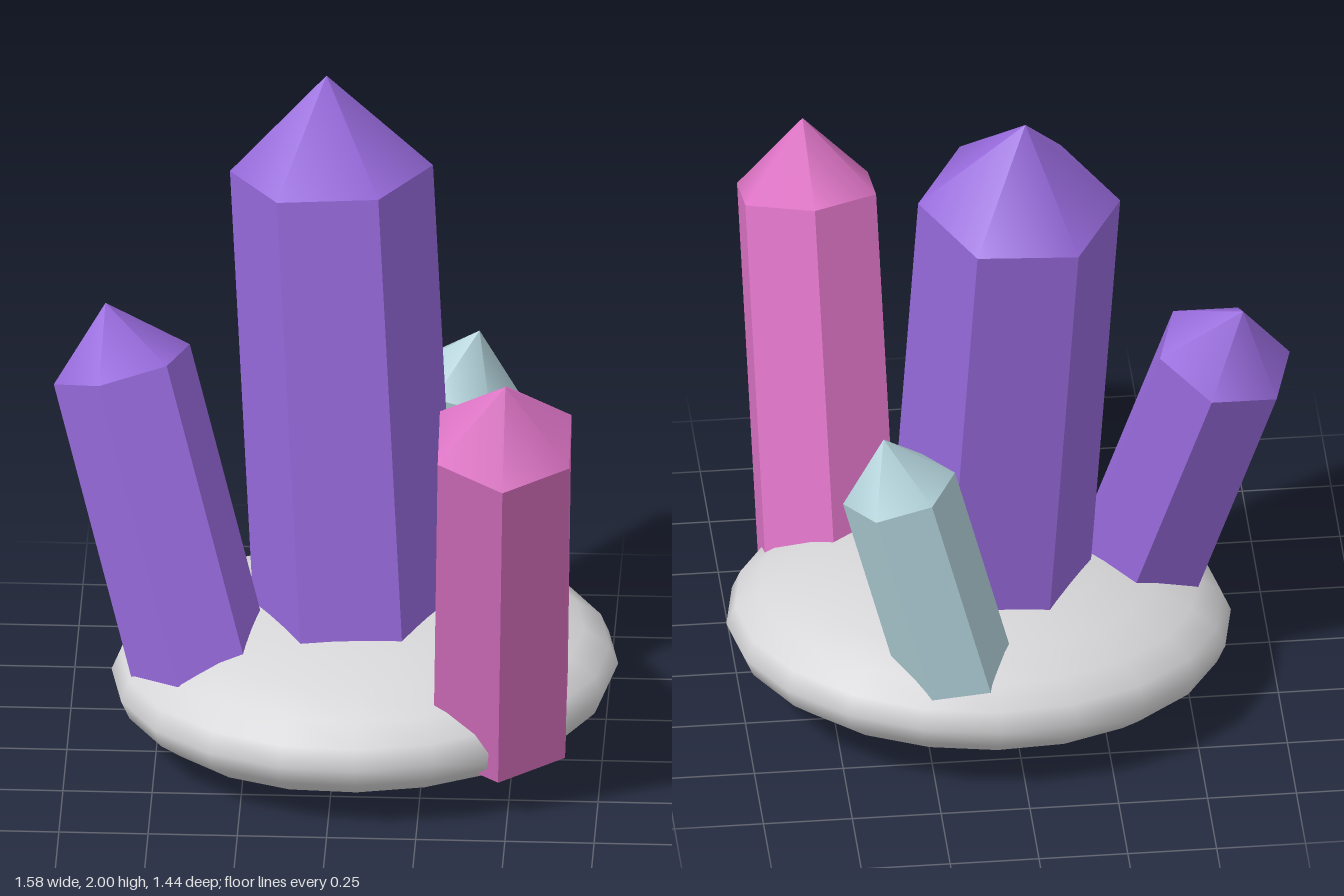
import * as THREE from 'three';
import { mergeVertices } from 'three/addons/utils/BufferGeometryUtils.js';

const V = (a) => new THREE.Vector3(...a);
const makeMaterial = (name, color) => {
  const material = new THREE.MeshStandardMaterial({ color });
  material.name = name;
  return material;
};

// Hexagonal crystal: flat-sided shaft with a softly shaded point.
// shoulder = centre of the ring under the point, corner = direction of one edge
function makeCrystal({ name, material, shoulder, axis, corner, radius, length, pointHeight }) {
  const up = V(axis).normalize();
  const side = V(corner);
  side.addScaledVector(up, -side.dot(up)).normalize();
  const third = new THREE.Vector3().crossVectors(side, up).normalize();

  const crystal = new THREE.Group();
  crystal.name = name;
  crystal.position.copy(V(shoulder));
  crystal.quaternion.setFromRotationMatrix(new THREE.Matrix4().makeBasis(side, up, third));

  // thetaStart of a quarter turn puts a corner on local x
  const shaftGeometry = new THREE.CylinderGeometry(radius, radius, length, 6, 1, false, Math.PI / 2).toNonIndexed();
  shaftGeometry.computeVertexNormals();
  shaftGeometry.translate(0, -length / 2, 0);
  const shaft = new THREE.Mesh(shaftGeometry, material);
  shaft.name = name + 'Shaft';

  const pointGeometry = new THREE.ConeGeometry(radius, pointHeight, 6, 1, true, Math.PI / 2);
  pointGeometry.translate(0, pointHeight / 2, 0);
  const point = new THREE.Mesh(pointGeometry, material);
  point.name = name + 'Point';

  crystal.add(shaft, point);
  return crystal;
}

// Flattened, slightly tilted and lumpy boulder
function makeRock(material) {
  let geometry = new THREE.SphereGeometry(1, 20, 12);
  geometry.deleteAttribute('uv');
  geometry.deleteAttribute('normal');
  geometry = mergeVertices(geometry, 1e-4);
  const p = geometry.attributes.position;
  for (let i = 0; i < p.count; i++) {
    const x = p.getX(i), y = p.getY(i), z = p.getZ(i);
    const lump = 1 + 0.025 * Math.sin(5 * x + 1) * Math.cos(4 * z) * (1 - y * y);
    p.setXYZ(i,
      0.08 + 0.71 * x,
      0.225 + 0.223 * y * lump + 0.025 * x - 0.018 * z,
      -0.115 + 0.607 * z);
  }
  geometry.computeVertexNormals();
  const rock = new THREE.Mesh(geometry, material);
  rock.name = 'rockBase';
  return rock;
}

export function createModel() {
  const purple = makeMaterial('purple crystal', 0x9669da);
  const pink = makeMaterial('pink crystal', 0xdc73c4);
  const blue = makeMaterial('pale blue crystal', 0xafced6);
  const grey = makeMaterial('grey rock', 0xd6d6d8);

  const model = new THREE.Group();
  model.name = 'crystalCluster';
  model.add(makeRock(grey));

  const crystals = [
    { name: 'tallCrystal', material: purple, shoulder: [-0.02, 1.722, -0.255], axis: [-0.054, 1, -0.092],
      corner: [1, 0, 0], radius: 0.285, length: 1.5, pointHeight: 0.28 },
    { name: 'leaningCrystal', material: purple, shoulder: [-0.605, 1.12, -0.195], axis: [-0.275, 1, -0.23],
      corner: [-0.185, -0.04, 0.055], radius: 0.2, length: 0.9, pointHeight: 0.183 },
    { name: 'frontCrystal', material: pink, shoulder: [0.5, 1.277, 0.515], axis: [0.025, 1, 0.308],
      corner: [0.02, 0, 1], radius: 0.213, length: 1.14, pointHeight: 0.208 },
    { name: 'smallCrystal', material: blue, shoulder: [0.342, 0.935, -0.49], axis: [0.26, 1, 0.04],
      corner: [1, 0, 0], radius: 0.163, length: 0.76, pointHeight: 0.17 },
  ];
  crystals.forEach((spec) => model.add(makeCrystal(spec)));
  return model;
}
